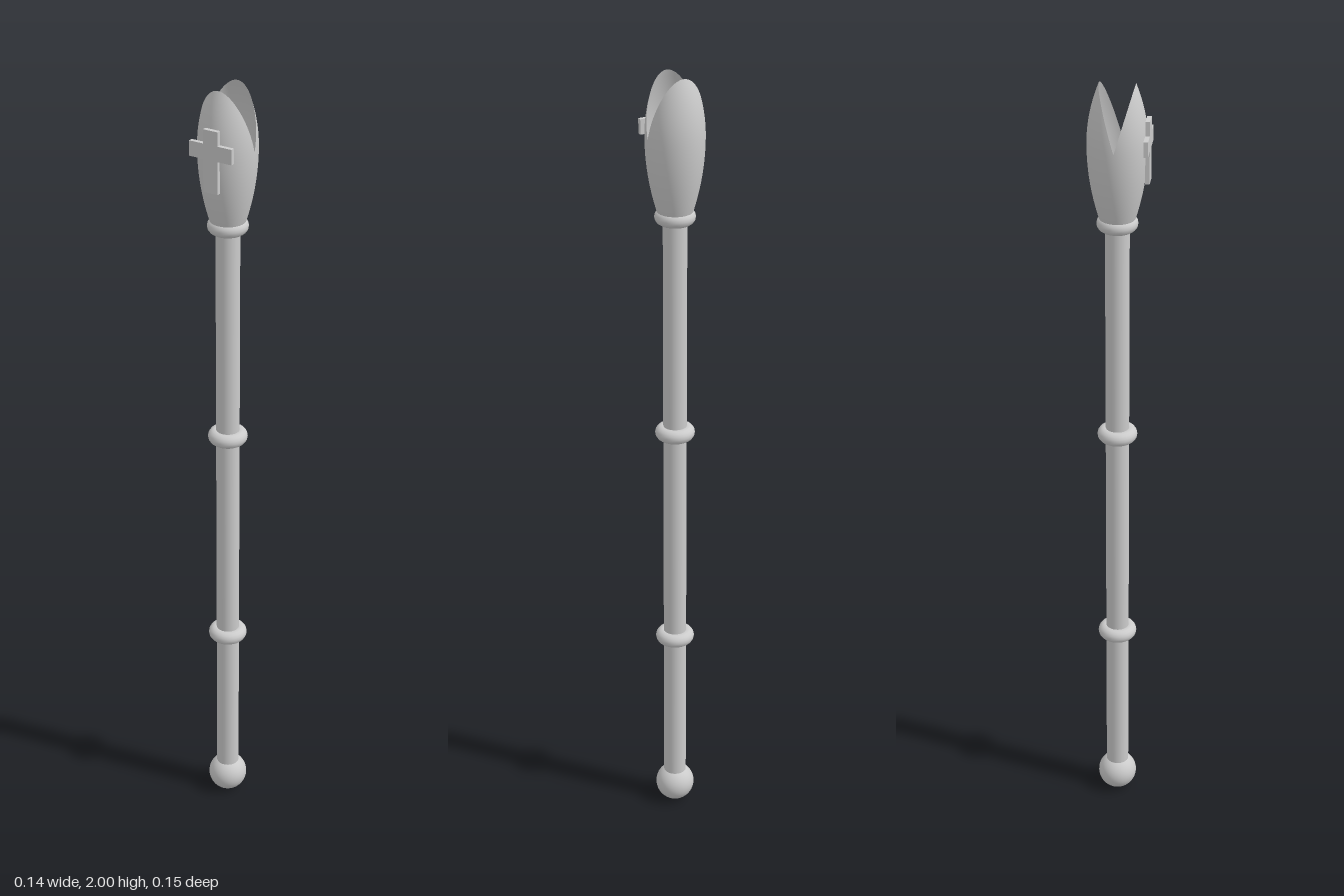
import * as THREE from 'three';
import { mergeVertices } from 'three/addons/utils/BufferGeometryUtils.js';

const material = new THREE.MeshStandardMaterial({ color: 0xcccccc });
const thinMaterial = new THREE.MeshStandardMaterial({ color: 0xcccccc, side: THREE.DoubleSide });
const AXIS_Z = -0.003; // the cross on the front shifts the staff slightly back

const BASE = 1.67, NOTCH = 1.855, TIP = 2, TIP_RADIUS = 0.042, MAX_RADIUS = 0.0705;

// Radius of the cup at height y: widest at the bottom of the notch
function cupRadius(y) {
  const span = y > NOTCH ? TIP - NOTCH : NOTCH - BASE;
  return MAX_RADIUS - (MAX_RADIUS - TIP_RADIUS) * ((y - NOTCH) / span) ** 2;
}

// Height where the V-shaped notch cuts the cup wall at a given angle
function rimHeight(angle) {
  const c = Math.abs(Math.cos(angle));
  let low = NOTCH, high = TIP;
  for (let i = 0; i < 30; i++) {
    const y = (low + high) / 2;
    const notchHalf = TIP_RADIUS * (y - NOTCH) / (TIP - NOTCH);
    if (cupRadius(y) * c > notchHalf) low = y; else high = y;
  }
  return low;
}

// Hollow thin cup with its rim cut to a V
function cupGeometry() {
  const rows = 24, segments = 96;
  const points = Array.from({ length: rows + 1 }, (_, i) => new THREE.Vector2(1, i / rows));
  let geometry = new THREE.LatheGeometry(points, segments);
  const p = geometry.attributes.position;
  for (let i = 0; i < p.count; i++) {
    const angle = Math.atan2(p.getX(i), p.getZ(i));
    const y = BASE + p.getY(i) * (rimHeight(angle) - BASE);
    const r = cupRadius(y);
    p.setXYZ(i, r * Math.sin(angle), y, r * Math.cos(angle));
  }
  geometry.deleteAttribute('uv');
  geometry.deleteAttribute('normal');
  geometry = mergeVertices(geometry, 1e-5);
  geometry.computeVertexNormals();
  return geometry;
}

// Cross outline, extruded
function crossGeometry() {
  const w = 0.019, a = 0.056, bottom = 1.767, low = 1.847, high = 1.884, top = 1.918;
  const outline = [[-w, bottom], [w, bottom], [w, low], [a, low], [a, high], [w, high],
    [w, top], [-w, top], [-w, high], [-a, high], [-a, low], [-w, low]];
  const shape = new THREE.Shape(outline.map(([x, y]) => new THREE.Vector2(x, y)));
  return new THREE.ExtrudeGeometry(shape, { depth: 0.0105, bevelEnabled: false });
}

export function createModel() {
  const group = new THREE.Group();
  const add = (name, geometry, y = 0, z = AXIS_Z, mat = material) => {
    const mesh = new THREE.Mesh(geometry, mat);
    mesh.name = name;
    mesh.position.set(0, y, z);
    group.add(mesh);
    return mesh;
  };

  add('pommel', new THREE.SphereGeometry(0.05, 32, 24), 0.05);

  const shaftBottom = 0.06, shaftTop = 1.655;
  add('shaft', new THREE.CylinderGeometry(0.029, 0.029, shaftTop - shaftBottom, 32),
    (shaftBottom + shaftTop) / 2);

  // Rings around the shaft
  [['lowerRing', 0.511], ['middleRing', 1.098], ['upperRing', 1.66]].forEach(([name, y]) => {
    add(name, new THREE.TorusGeometry(0.031, 0.018, 16, 48).rotateX(Math.PI / 2), y);
  });

  add('notchedHead', cupGeometry(), 0, AXIS_Z, thinMaterial);
  add('frontCross', crossGeometry(), 0, 0.063);
  return group;
}
